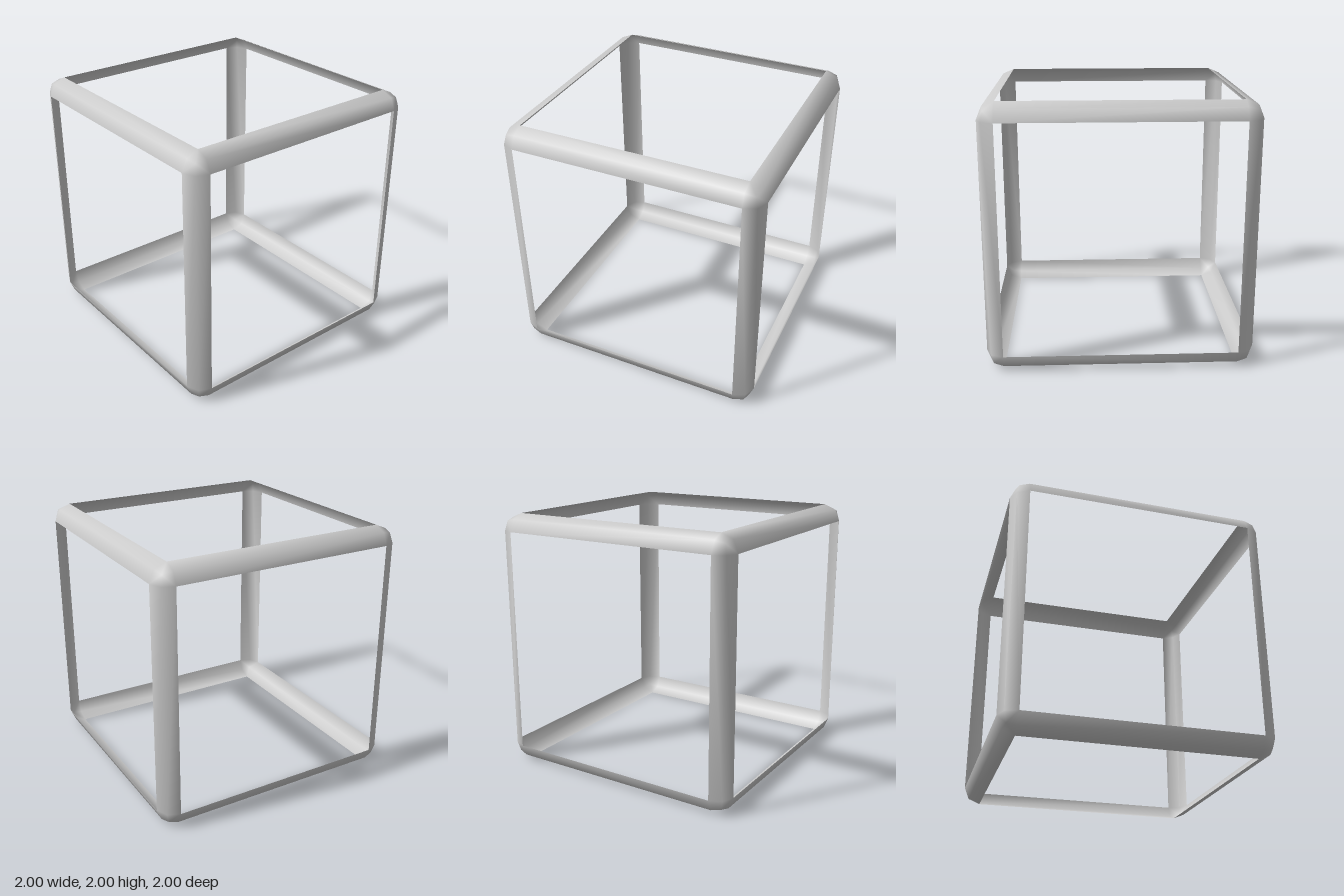
import * as THREE from 'three';
import { mergeVertices } from 'three/addons/utils/BufferGeometryUtils.js';

const RADIUS = 0.13;       // rounding of the cube edges
const CORE = 1 - RADIUS;   // distance from the middle to each rounding centre

const dir = (...v) => new THREE.Vector3(...v).normalize();
// Point on the rounding around the given corner centre
const point = (centre, d) => centre.clone().multiplyScalar(CORE).addScaledVector(d, RADIUS);

// Add a quad as two triangles, wound so that it faces along "out"
function addQuad(positions, [a, b, c, d], out) {
  const normal = c.clone().sub(a).cross(d.clone().sub(b));
  const loop = normal.dot(out) > 0 ? [a, b, c, a, c, d] : [a, c, b, a, d, c];
  for (const p of loop) positions.push(p.x, p.y, p.z);
}

// Twelve bevelled edge strips, two facets each
function addEdges(positions) {
  for (let axis = 0; axis < 3; axis++) {
    for (const s of [-1, 1]) for (const t of [-1, 1]) {
      // Place (along, u, v) with "along" on the current axis
      const place = (along, u, v) => {
        const p = new THREE.Vector3();
        p.setComponent(axis, along);
        p.setComponent((axis + 1) % 3, u);
        p.setComponent((axis + 2) % 3, v);
        return p;
      };
      const arc = [place(0, s, 0), place(0, s, t).normalize(), place(0, 0, t)];
      const start = place(-1, s, t), end = place(1, s, t);
      for (let i = 0; i < 2; i++) {
        addQuad(positions, [
          point(start, arc[i]), point(end, arc[i]),
          point(end, arc[i + 1]), point(start, arc[i + 1]),
        ], place(0, s, t));
      }
    }
  }
}

// Eight rounded corners, three quads meeting in the middle of each
function addCorners(positions) {
  for (const x of [-1, 1]) for (const y of [-1, 1]) for (const z of [-1, 1]) {
    const centre = new THREE.Vector3(x, y, z);
    const tip = dir(x, y, z);
    const axes = [dir(x, 0, 0), dir(0, y, 0), dir(0, 0, z)];
    for (let i = 0; i < 3; i++) {
      const a = axes[i];
      const next = a.clone().add(axes[(i + 1) % 3]).normalize();
      const prev = a.clone().add(axes[(i + 2) % 3]).normalize();
      addQuad(positions, [a, next, tip, prev].map((d) => point(centre, d)), tip);
    }
  }
}

export function createModel() {
  const positions = [];
  addEdges(positions);
  addCorners(positions);

  // Weld the shell so the shading runs smoothly over edges and corners
  let geometry = new THREE.BufferGeometry();
  geometry.setAttribute('position', new THREE.Float32BufferAttribute(positions, 3));
  geometry = mergeVertices(geometry);
  geometry.computeVertexNormals();

  const material = new THREE.MeshStandardMaterial({ color: 0xcccccc, side: THREE.DoubleSide });
  const frame = new THREE.Mesh(geometry, material);
  frame.name = 'cubeFrame';
  frame.position.y = 1;

  const model = new THREE.Group();
  model.name = 'openCube';
  model.add(frame);
  return model;
}
